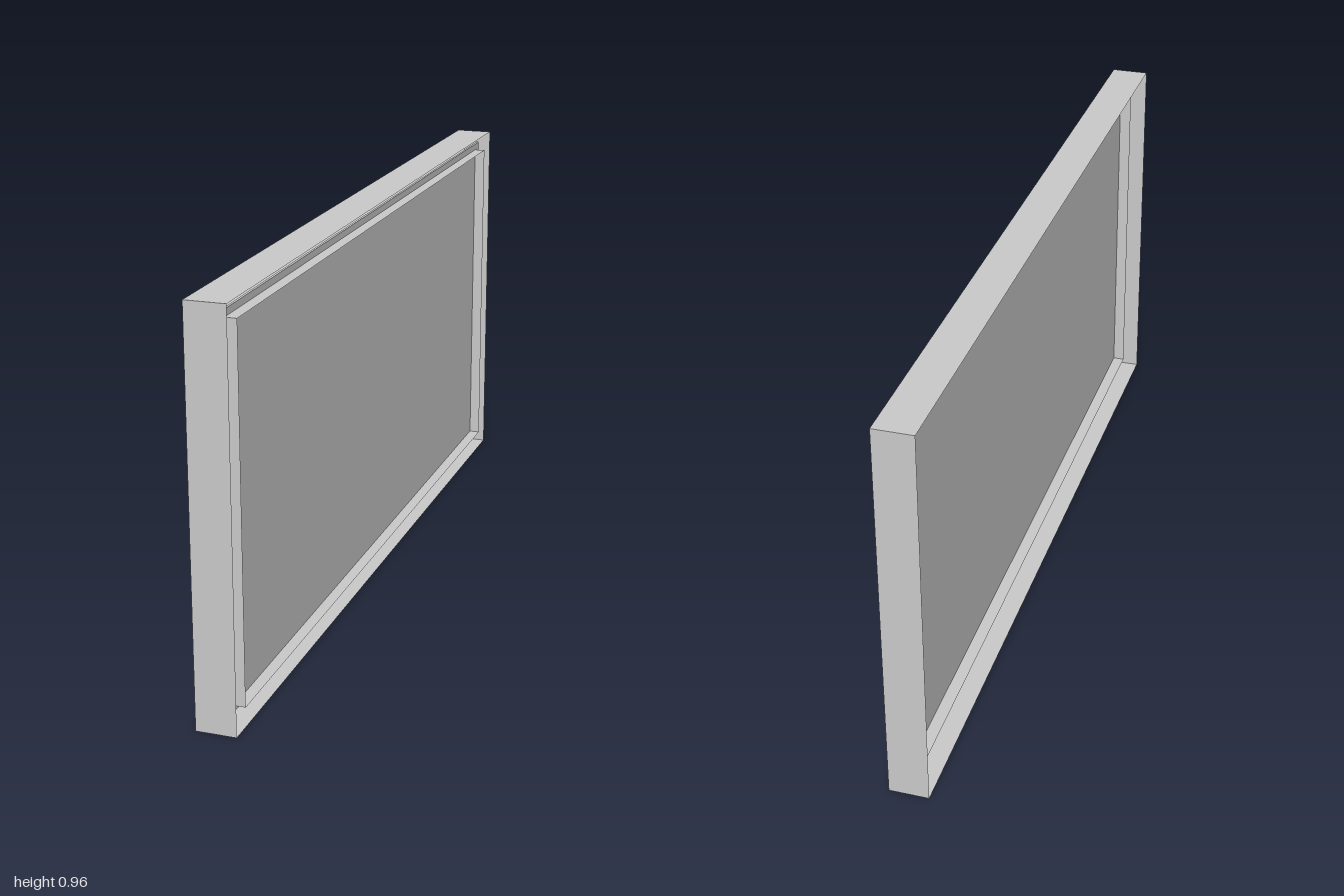
import * as THREE from 'three';

const HEIGHT = 0.965;
const material = new THREE.MeshStandardMaterial({
  color: 0xcccccc, flatShading: true, side: THREE.DoubleSide,
});

// Thin rectangular band, open towards -x and +x
function band(name, x0, x1, height, length) {
  let geometry = new THREE.CylinderGeometry(Math.SQRT1_2, Math.SQRT1_2, 1, 4, 1, true, Math.PI / 4);
  geometry.rotateZ(Math.PI / 2);
  geometry.scale(x1 - x0, height, length);
  geometry = geometry.toNonIndexed();
  geometry.computeVertexNormals();
  const mesh = new THREE.Mesh(geometry, material);
  mesh.name = name;
  mesh.position.set((x0 + x1) / 2, HEIGHT / 2, 0);
  return mesh;
}

export function createModel() {
  const model = new THREE.Group();
  model.name = 'framedPanel';

  // Outer casing and the smaller rim standing inside it
  model.add(band('outerFrame', -0.048, 0.048, HEIGHT, 2));
  model.add(band('innerRim', -0.017, 0.047, 0.875, 1.89));

  // Panel crossing the rim, just short of the casing
  const panel = new THREE.Mesh(new THREE.BoxGeometry(0.006, 0.908, 1.966), material);
  panel.name = 'panel';
  panel.position.set(0.016, HEIGHT / 2, 0);
  model.add(panel);

  return model;
}
